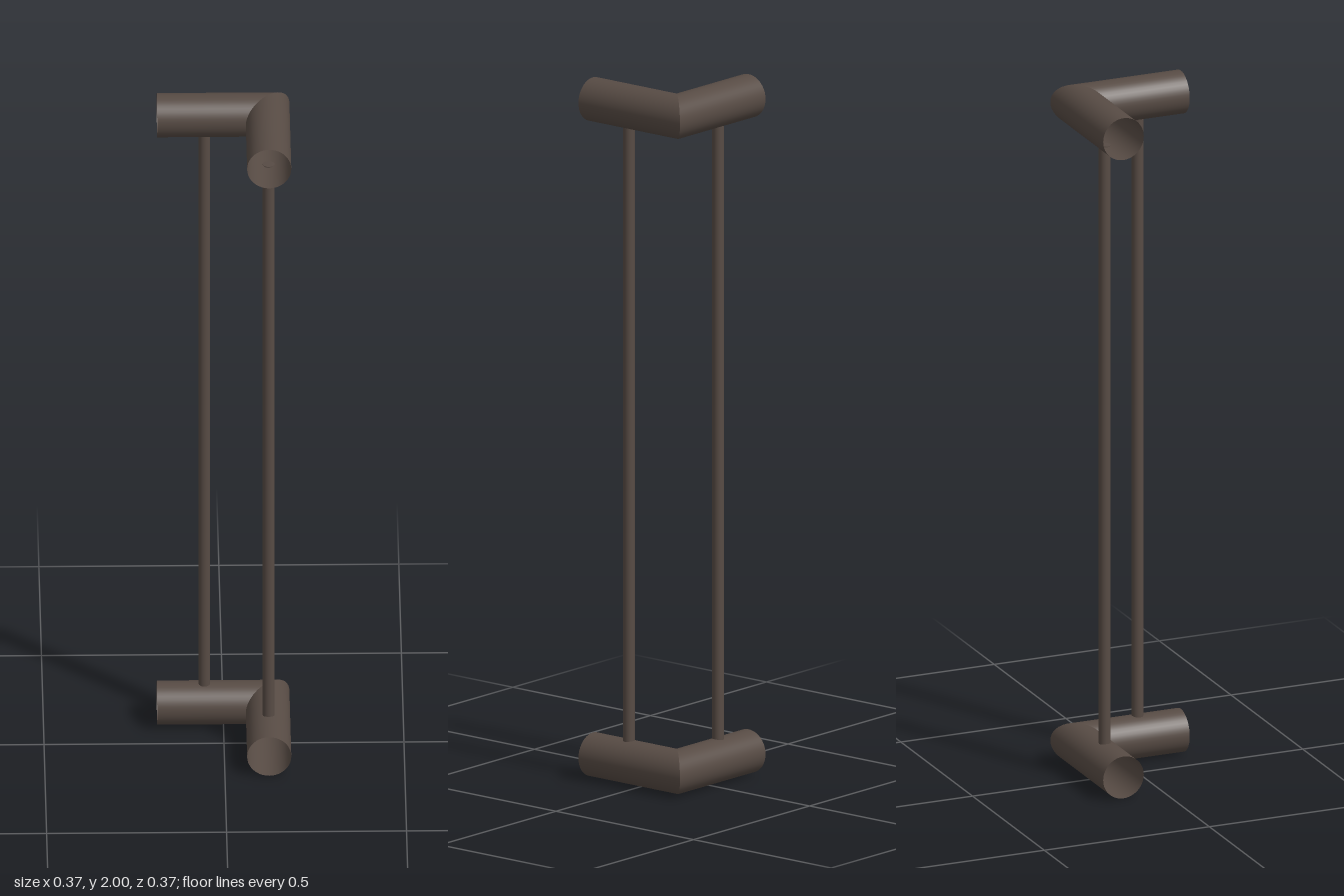
import * as THREE from 'three';

const R = 0.0615;      // arm radius
const HALF = 0.1845;   // half footprint
const AXIS = HALF - R; // offset of the arm axes from the centre

// Open tube whose inner end is mitred on the diagonal plane z = -x
function mitredArm(alongX) {
  const geo = new THREE.CylinderGeometry(R, R, HALF * 2, 40, 1, true);
  if (alongX) geo.rotateZ(Math.PI / 2).translate(0, 0, -AXIS);
  else geo.rotateX(Math.PI / 2).translate(AXIS, 0, 0);
  const p = geo.attributes.position;
  for (let i = 0; i < p.count; i++) {
    if (alongX && p.getX(i) > 0) p.setX(i, -p.getZ(i));
    if (!alongX && p.getZ(i) < 0) p.setZ(i, -p.getX(i));
  }
  return geo;
}

export function createModel() {
  const model = new THREE.Group();
  model.name = 'cornerHandle';
  const bronze = new THREE.MeshStandardMaterial({ color: 0x574b44, side: THREE.DoubleSide });
  bronze.name = 'dark bronze';

  const add = (parent, name, geo, x, y, z) => {
    const mesh = new THREE.Mesh(geo, bronze);
    mesh.name = name;
    mesh.position.set(x, y, z);
    parent.add(mesh);
  };

  // Top and bottom elbows
  const sideArm = mitredArm(true);
  const frontArm = mitredArm(false);
  for (const [name, y] of [['bottomElbow', R], ['topElbow', 2 - R]]) {
    const elbow = new THREE.Group();
    elbow.name = name;
    elbow.position.y = y;
    add(elbow, 'sideArm', sideArm, 0, 0, 0);
    add(elbow, 'frontArm', frontArm, 0, 0, 0);
    model.add(elbow);
  }

  // Two slim upright rods between the elbows
  const rod = new THREE.CylinderGeometry(0.0165, 0.0165, 1.76, 24);
  add(model, 'sideRod', rod, -0.053, 1, -AXIS);
  add(model, 'frontRod', rod, AXIS, 1, 0.053);
  return model;
}
